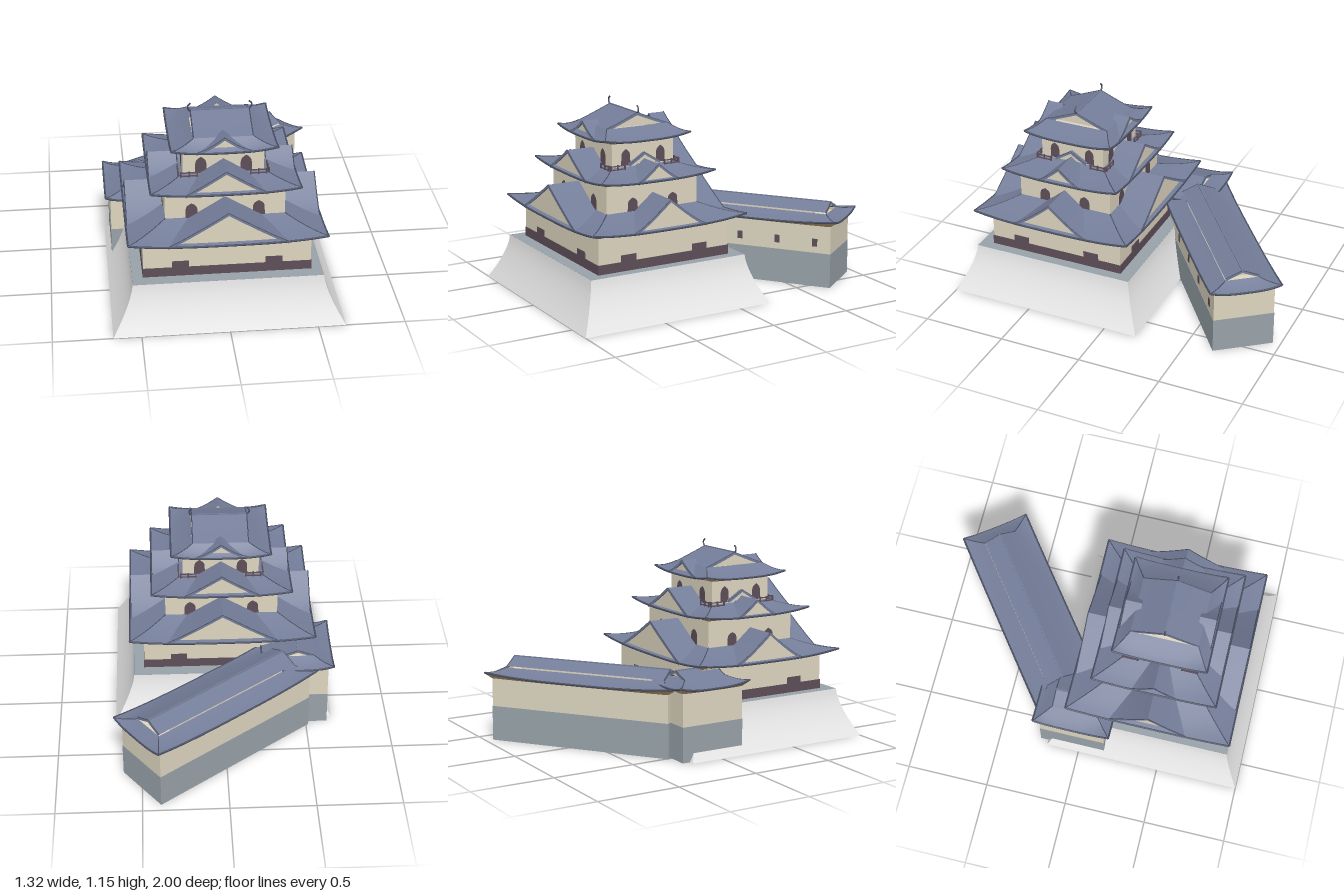
import * as THREE from 'three';

const mat = (name, color) => {
  const m = new THREE.MeshStandardMaterial({ color, side: THREE.DoubleSide });
  m.name = name;
  return m;
};
const M = {
  roof: mat('slateBlueRoof', 0x747d99),
  trim: mat('darkSlateTrim', 0x4a5064),
  soffit: mat('brownSoffit', 0xb89e74),
  plaster: mat('creamPlaster', 0xddd5bf),
  band: mat('plumTimber', 0x5e4e59),
  rampart: mat('paleRampart', 0xe6e6e6),
  stone: mat('greyStone', 0x98a2a9),
};
const lerp = THREE.MathUtils.lerp;

function add(parent, name, geo, material, x = 0, y = 0, z = 0) {
  const m = new THREE.Mesh(geo, material);
  m.name = name;
  m.position.set(x, y, z);
  parent.add(m);
  return m;
}
// Box given by half width, bottom, top, half depth
const block = (p, name, hx, y0, y1, hz, m, x = 0, z = 0) =>
  add(p, name, new THREE.BoxGeometry(2 * hx, y1 - y0, 2 * hz), m, x, (y0 + y1) / 2, z);

// Grid surface: fn(u, v) gives [x, y, z], u and v run from 0 to 1
function surf(p, name, fn, nu, nv, m) {
  const pos = [], idx = [];
  for (let j = 0; j <= nv; j++) for (let i = 0; i <= nu; i++) pos.push(...fn(i / nu, j / nv));
  for (let j = 0; j < nv; j++) for (let i = 0; i < nu; i++) {
    const a = j * (nu + 1) + i, c = a + nu + 1;
    idx.push(a, a + 1, c, a + 1, c + 1, c);
  }
  const g = new THREE.BufferGeometry();
  g.setAttribute('position', new THREE.Float32BufferAttribute(pos, 3));
  g.setIndex(idx);
  g.computeVertexNormals();
  return add(p, name, g, m);
}
function tube(p, name, pts, r, m = M.trim) {
  const curve = new THREE.CatmullRomCurve3(pts.map(q => new THREE.Vector3(...q)));
  return add(p, name, new THREE.TubeGeometry(curve, pts.length * 2, r, 6), m);
}
const range = (n, fn) => Array.from({ length: n + 1 }, (_, i) => fn(i / n));

// Point on side k of a rectangle, s from -1 to 1
const onSide = (k, s, hx, hz, y) =>
  [[s * hx, y, hz], [hx, y, -s * hz], [-s * hx, y, -hz], [-hx, y, s * hz]][k];

// Hipped skirt with upswept corners, eave trim, hip ridges and soffit
function skirt(p, o) {
  const at = (k, s, v) => onSide(k, s, lerp(o.ex, o.ix, v), lerp(o.ez, o.iz, v),
    lerp(o.yE, o.yI, v ** 1.25) + o.lift * Math.abs(s) ** 3 * (1 - v) ** 2);
  for (let k = 0; k < 4; k++) {
    surf(p, 'skirtRoof', (u, v) => at(k, 2 * u - 1, v), 16, 6, M.roof);
    surf(p, 'soffit', (u, v) => {
      const s = 1 - 2 * u, e = at(k, s, 0);
      const w = onSide(k, s, o.wx, o.wz, o.yE - 0.02);
      return [lerp(e[0], w[0], v), lerp(e[1] - 0.008, w[1], v), lerp(e[2], w[2], v)];
    }, 16, 2, M.soffit);
    tube(p, 'eaveTrim', range(16, t => {
      const q = at(k, 2 * t - 1, 0);
      return [q[0], q[1] - 0.002, q[2]];
    }), 0.006);
    tube(p, 'hipRidge', range(6, t => at(k, 1, t)), 0.003);
  }
}

// Curved gable facing +z in its own group
function gable(p, name, { angle, d, back, apex, foot, w, pow = 1.08, inset = 0.025 }) {
  const g = new THREE.Group();
  g.name = name;
  g.rotation.y = angle;
  p.add(g);
  const y = x => foot + (apex - foot) * (1 - Math.min(1, Math.abs(x) / w)) ** pow;
  for (const s of [0, 1]) {
    const X = u => (s ? u : u - 1) * w;
    surf(g, 'gableRoof', (u, v) => [X(u), y(X(u)), lerp(d, back, v)], 8, 1, M.roof);
    surf(g, 'bargeboard', (u, v) => [X(u), y(X(u)) - 0.014 * (1 - v), d], 8, 1, M.roof);
    tube(g, 'gableEdge', range(8, t => [X(t), y(X(t)), d - 0.003]), 0.003, M.trim);
  }
  const sh = new THREE.Shape(range(16, t => {
    const x = (2 * t - 1) * w;
    return new THREE.Vector2(x, y(x) - 0.003);
  }));
  add(g, 'gableWall', new THREE.ShapeGeometry(sh), M.plaster, 0, 0, d - inset);
}

// Hip-and-gable roof with its ridge along x
function hipGable(p, o) {
  skirt(p, o);
  for (const s of [1, -1]) {
    gable(p, 'mainGable', { angle: s * Math.PI / 2, d: o.ix, back: 0, apex: o.yR,
      foot: o.yI + (o.gap || 0), w: o.iz, pow: 1.06 });
  }
  block(p, 'ridgeBeam', o.ix, o.yR - 0.005, o.yR + 0.004, 0.004, M.roof);
}

// Bell-shaped window plate on the +z face of a rotated group
function bellWindow(p, angle, x, y0, y1, w, d) {
  const h = y1 - y0, s = new THREE.Shape();
  s.moveTo(-w, 0);
  s.lineTo(-w * 0.95, h * 0.55);
  s.bezierCurveTo(-w * 0.9, h * 0.85, -w * 0.4, h * 0.9, 0, h);
  s.bezierCurveTo(w * 0.4, h * 0.9, w * 0.9, h * 0.85, w * 0.95, h * 0.55);
  s.lineTo(w, 0);
  const g = new THREE.Group();
  g.name = 'window';
  g.rotation.y = angle;
  add(g, 'windowPlate', new THREE.ShapeGeometry(s), M.band, x, y0, d + 0.004);
  p.add(g);
}

export function createModel() {
  const root = new THREE.Group();
  root.name = 'castle';
  const keep = new THREE.Group();
  keep.name = 'keep';
  keep.position.z = 0.4;
  root.add(keep);

  // Flared rampart
  for (let k = 0; k < 4; k++) {
    surf(keep, 'rampart', (u, v) => {
      const f = (1 - v) ** 1.5;
      return onSide(k, 2 * u - 1, 0.54 + 0.12 * f, 0.5 + 0.1 * f, 0.28 * v);
    }, 1, 8, M.rampart);
  }
  block(keep, 'rampartTop', 0.539, 0.272, 0.28, 0.499, M.stone);
  block(keep, 'rampartFloor', 0.658, 0, 0.002, 0.598, M.roof);

  // Storeys
  block(keep, 'lowerStorey', 0.475, 0.28, 0.5, 0.42, M.plaster);
  block(keep, 'timberBand', 0.479, 0.28, 0.335, 0.424, M.band);
  for (const s of [1, -1]) {
    block(keep, 'frontBandStep', 0.048, 0.33, 0.374, 0.424, M.band, s * 0.265);
    block(keep, 'sideBandStep', 0.479, 0.33, 0.374, 0.048, M.band, 0, s * 0.23);
  }
  block(keep, 'middleStorey', 0.34, 0.5, 0.75, 0.295, M.plaster);
  block(keep, 'upperStorey', 0.23, 0.75, 0.965, 0.2, M.plaster);

  // Roofs
  skirt(keep, { ex: 0.558, ez: 0.498, ix: 0.335, iz: 0.29, wx: 0.47, wz: 0.415, yE: 0.507, yI: 0.582, lift: 0.027 });
  skirt(keep, { ex: 0.421, ez: 0.371, ix: 0.225, iz: 0.195, wx: 0.335, wz: 0.29, yE: 0.757, yI: 0.815, lift: 0.024 });
  hipGable(keep, { ex: 0.298, ez: 0.278, ix: 0.17, iz: 0.2, wx: 0.225, wz: 0.195,
    yE: 0.969, yI: 1.028, yR: 1.105, lift: 0.023 });

  // Dormer gables, mirrored front/back and left/right
  for (const a of [0, Math.PI]) {
    const b = a + Math.PI / 2;
    gable(keep, 'lowerFrontGable', { angle: a, d: 0.495, back: 0.2, apex: 0.706, foot: 0.51, w: 0.335 });
    gable(keep, 'lowerSideGable', { angle: b, d: 0.555, back: 0.25, apex: 0.676, foot: 0.51, w: 0.23, pow: 1.2 });
    gable(keep, 'middleFrontGable', { angle: a, d: 0.37, back: 0.15, apex: 0.896, foot: 0.758, w: 0.228 });
    gable(keep, 'middleSideGable', { angle: b, d: 0.42, back: 0.18, apex: 0.854, foot: 0.758, w: 0.13, pow: 1.2 });
    gable(keep, 'smallSideGable', { angle: b, d: 0.255, back: 0.18, apex: 0.89, foot: 0.83, w: 0.1, inset: 0.01 });
    gable(keep, 'topFrontGable', { angle: a, d: 0.272, back: 0.17, apex: 1.057, foot: 0.972, w: 0.16, pow: 1.45 });
    // Windows
    for (const s of [1, -1]) {
      bellWindow(keep, a, s * 0.19, 0.58, 0.672, 0.035, 0.295);
      bellWindow(keep, b, s * 0.13, 0.58, 0.66, 0.033, 0.34);
      bellWindow(keep, a, s * 0.128, 0.81, 0.913, 0.033, 0.2);
      bellWindow(keep, b, s * 0.113, 0.82, 0.918, 0.03, 0.23);
    }
  }

  // Corner balustrades and ridge finials
  for (const sx of [1, -1]) {
    for (const sz of [1, -1]) {
      for (const y of [0.808, 0.828]) {
        block(keep, 'frontRail', 0.048, y - 0.003, y + 0.003, 0.003, M.band, sx * 0.198, sz * 0.228);
        block(keep, 'sideRail', 0.003, y - 0.003, y + 0.003, 0.048, M.band, sx * 0.255, sz * 0.178);
      }
      for (const t of [0, 1, 2]) {
        block(keep, 'frontRailPost', 0.004, 0.79, 0.835, 0.004, M.band, sx * (0.15 + t * 0.046), sz * 0.228);
        block(keep, 'sideRailPost', 0.004, 0.79, 0.835, 0.004, M.band, sx * 0.255, sz * (0.13 + t * 0.046));
      }
    }
    tube(keep, 'ridgeFinial', [[sx * 0.162, 1.104, 0], [sx * 0.175, 1.11, 0], [sx * 0.182, 1.125, 0],
      [sx * 0.178, 1.137, 0], [sx * 0.166, 1.147, 0]], 0.005);
  }

  // Long gallery running off at an angle behind the keep
  const wing = new THREE.Group();
  wing.name = 'gallery';
  wing.position.set(0.0475, 0, -0.47);
  wing.rotation.y = 0.6435;
  root.add(wing);
  block(wing, 'galleryFooting', 0.567, 0.001, 0.21, 0.181, M.stone);
  block(wing, 'galleryWall', 0.565, 0.21, 0.39, 0.179, M.plaster);
  hipGable(wing, { ex: 0.598, ez: 0.21, ix: 0.51, iz: 0.1, wx: 0.56, wz: 0.175,
    yE: 0.395, yI: 0.433, yR: 0.486, lift: 0.024, gap: 0.01 });
  block(wing, 'galleryClerestory', 0.42, 0.42, 0.445, 0.092, M.plaster);
  for (let i = 0; i < 4; i++) {
    block(wing, 'galleryWindow', 0.016, 0.25, 0.297, 0.003, M.band, 0.467 - i * 0.238, 0.18);
  }

  // Short corner building joining the gallery to the keep
  const corner = new THREE.Group();
  corner.name = 'cornerBuilding';
  corner.position.set(-0.445, 0, -0.045);
  corner.rotation.y = Math.PI / 2;
  root.add(corner);
  block(corner, 'cornerFooting', 0.202, 0.001, 0.21, 0.184, M.stone);
  block(corner, 'cornerWall', 0.2, 0.21, 0.41, 0.182, M.plaster);
  hipGable(corner, { ex: 0.233, ez: 0.21, ix: 0.14, iz: 0.1, wx: 0.195, wz: 0.177,
    yE: 0.42, yI: 0.46, yR: 0.497, lift: 0.024 });

  return root;
}
